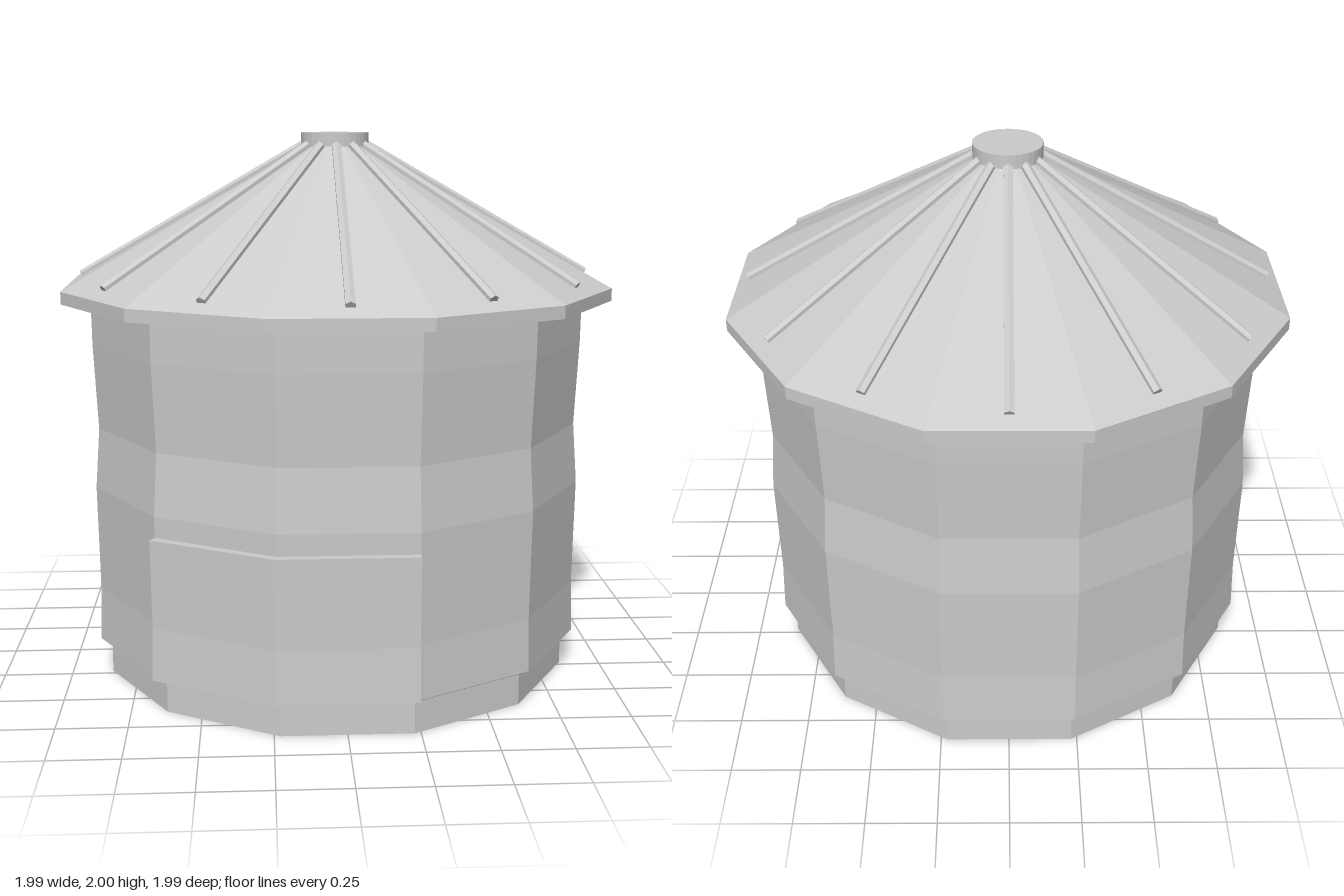
import * as THREE from 'three';

const SIDES = 12;
const STEP = Math.PI / 6;
const CORNER = 1 / Math.cos(STEP / 2); // flat-to-corner radius ratio

const material = () => new THREE.MeshStandardMaterial({ color: 0xcccccc, flatShading: true });

function part(name, geometry) {
  const mesh = new THREE.Mesh(geometry, material());
  mesh.name = name;
  return mesh;
}

// Twelve-sided solid from a [flat radius, height] profile, bottom to top
function twelveSided(name, profile) {
  const points = profile.map(([r, y]) => new THREE.Vector2(r * CORNER, y));
  return part(name, new THREE.LatheGeometry(points, SIDES, STEP / 2));
}

// Panel wrapped over two wall facets, built from stacked cross-sections
function hatchGeometry() {
  const thick = 0.033, inset = 0.012;
  const levels = [[0.14, 0.89], [0.33, 0.884], [0.645, 0.889]];
  const positions = [], index = [];
  const ring = (flat) => {
    const r = flat * CORNER;
    const at = (deg, radius) => {
      const a = THREE.MathUtils.degToRad(deg);
      return [Math.sin(a) * radius, Math.cos(a) * radius];
    };
    const left = at(-45, r), right = at(15, r), n = at(-30, thick);
    return [
      [left[0] + n[0], left[1] + n[1]], at(-15, r + thick * CORNER), [right[0], right[1] + thick],
      at(15, r - inset), at(-15, r - inset), at(-45, r - inset),
    ];
  };
  for (const [y, flat] of levels) for (const [x, z] of ring(flat)) positions.push(x, y, z);
  for (let l = 0; l < levels.length - 1; l++) {
    for (let i = 0; i < 6; i++) {
      const a = l * 6 + i, b = l * 6 + (i + 1) % 6;
      index.push(a, b, b + 6, a, b + 6, a + 6);
    }
  }
  // Top and bottom edges
  const t = (levels.length - 1) * 6;
  for (const [a, b, c] of [[0, 1, 4], [0, 4, 5], [1, 2, 3], [1, 3, 4]]) {
    index.push(t + a, t + b, t + c, a, c, b);
  }
  const geometry = new THREE.BufferGeometry();
  geometry.setAttribute('position', new THREE.Float32BufferAttribute(positions, 3));
  geometry.setIndex(index);
  geometry.computeVertexNormals();
  return geometry;
}

export function createModel() {
  const group = new THREE.Group();

  // Foundation plinth
  group.add(twelveSided('foundation', [[0, 0], [0.85, 0], [0.85, 0.115], [0, 0.115]]));

  // Gently rippled wall with a bevelled lower lip
  group.add(twelveSided('wall', [
    [0.85, 0.113], [0.89, 0.135], [0.884, 0.33], [0.89, 0.72],
    [0.874, 0.94], [0.888, 1.25], [0.89, 1.41],
  ]));

  // Wall hatch
  group.add(part('hatch', hatchGeometry()));

  // Roof with an upright eave
  group.add(twelveSided('roof', [[0, 1.4], [0.993, 1.4], [0.993, 1.445], [0.1, 1.957], [0, 1.957]]));

  // Ribs lying along the middle of each roof face
  const ribs = new THREE.Group();
  ribs.name = 'roofRibs';
  const low = new THREE.Vector3(0, 1.476, 0.945);
  const high = new THREE.Vector3(0, 1.962, 0.1);
  const along = high.clone().sub(low);
  for (let i = 0; i < SIDES; i++) {
    const rib = part('roofRib', new THREE.CylinderGeometry(0.019, 0.019, along.length(), 6));
    rib.position.copy(low).add(high).multiplyScalar(0.5);
    rib.quaternion.setFromUnitVectors(new THREE.Vector3(0, 1, 0), along.clone().normalize());
    const spoke = new THREE.Group();
    spoke.name = 'ribSpoke';
    spoke.rotation.y = i * STEP;
    spoke.add(rib);
    ribs.add(spoke);
  }
  group.add(ribs);

  // Round cap
  const cap = part('roofCap', new THREE.CylinderGeometry(0.125, 0.125, 0.05, 32));
  cap.position.y = 1.975;
  group.add(cap);

  return group;
}
